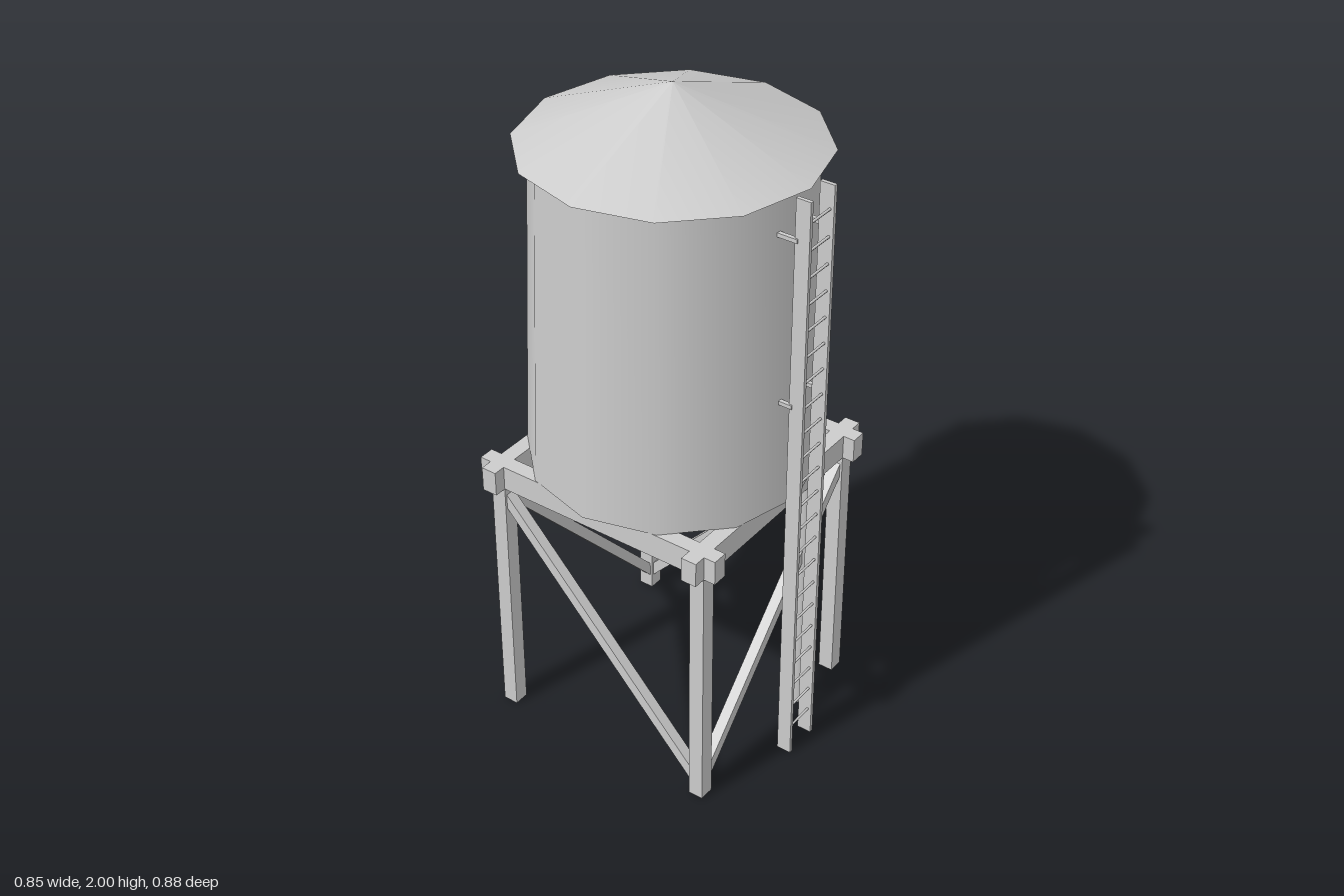
import * as THREE from 'three';

export function createModel() {
  const tower = new THREE.Group();
  tower.name = 'waterTower';
  const grey = new THREE.MeshStandardMaterial({ name: 'lightGrey', color: 0xcccccc });

  function add(name, geometry, x, y, z, parent = tower) {
    const mesh = new THREE.Mesh(geometry, grey);
    mesh.name = name;
    mesh.position.set(x, y, z);
    parent.add(mesh);
    return mesh;
  }
  const box = (name, w, h, d, x, y, z, parent) =>
    add(name, new THREE.BoxGeometry(w, h, d), x, y, z, parent);

  // Square bar between two points
  function strut(name, a, b, size) {
    const from = new THREE.Vector3(...a), to = new THREE.Vector3(...b);
    const mid = from.clone().add(to).multiplyScalar(0.5);
    const mesh = box(name, size, size, from.distanceTo(to), mid.x, mid.y, mid.z);
    mesh.lookAt(to);
  }

  const centreZ = -0.02;
  const legX = 0.34, legZ = 0.341, legSize = 0.046;
  const beamTop = 0.875, beamHeight = 0.075;

  // Tapered tank and conical roof
  add('tank', new THREE.CylinderGeometry(0.38, 0.415, 1.83 - beamTop, 12), 0, (1.83 + beamTop) / 2, centreZ);
  add('roof', new THREE.ConeGeometry(0.423, 0.17, 12), 0, 1.915, centreZ);

  // Legs and the crossing beams above them
  const beamY = beamTop - beamHeight / 2;
  for (const s of [-1, 1]) {
    for (const t of [-1, 1]) {
      box('leg', legSize, 0.87, legSize, s * legX, 0.435, centreZ + t * legZ);
    }
    box('crossBeam', 0.8, beamHeight, 0.047, 0, beamY, centreZ + s * legZ);
    box('sideBeam', 0.047, beamHeight, 0.8, s * legX, beamY, centreZ);
  }

  // One diagonal brace on each side
  const top = 0.765, foot = 0.055, inX = 0.33, inZ = 0.331;
  for (const s of [-1, 1]) {
    const z = centreZ + s * legZ;
    strut('crossBrace', [s * inX, top, z], [-s * inX, foot, z], 0.032);
    strut('sideBrace', [s * legX, top, centreZ + s * inZ], [s * legX, foot, centreZ - s * inZ], 0.032);
  }

  // Feed pipe
  add('pipe', new THREE.CylinderGeometry(0.028, 0.028, 0.87, 12), 0.158, 0.435, 0.325);

  // Ladder with rungs and wall brackets
  const ladder = new THREE.Group();
  ladder.name = 'ladder';
  tower.add(ladder);
  for (const s of [-1, 1]) {
    box('rail', 0.011, 1.83, 0.044, s * 0.054, 0.915, 0.42, ladder);
    box('bracket', 0.012, 0.012, 0.06, s * 0.058, 1.71, 0.378, ladder);
    box('bracket', 0.012, 0.012, 0.04, s * 0.058, 1.21, 0.388, ladder);
  }
  const rung = new THREE.CylinderGeometry(0.004, 0.004, 0.1, 6).rotateZ(Math.PI / 2);
  for (let i = 0; i < 22; i++) add('rung', rung, 0, 0.086 + i * 0.0797, 0.43, ladder);

  return tower;
}
